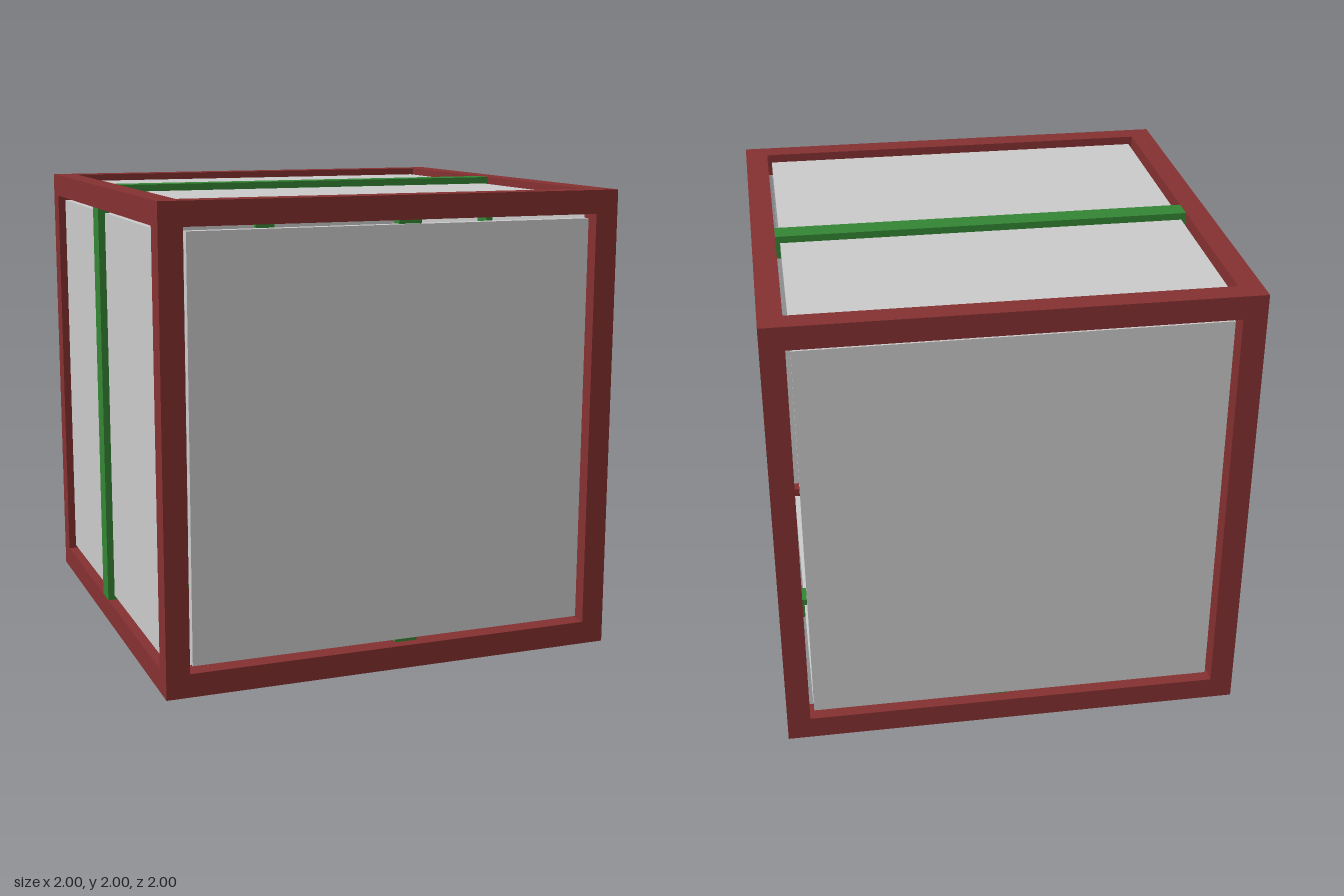
import * as THREE from 'three';

export function createModel() {
  const model = new THREE.Group();
  const red = new THREE.MeshStandardMaterial({ color: 0x853030 });
  const green = new THREE.MeshStandardMaterial({ color: 0x348534 });
  const grey = new THREE.MeshStandardMaterial({ color: 0xcccccc });

  const beam = 0.1;          // frame section
  const inner = 2 - 2 * beam; // clear opening
  const mid = 0.95;          // beam centre line
  const body = new THREE.Group();
  body.name = 'crate';
  body.position.y = 1;
  model.add(body);

  function box(name, material, size, position) {
    const mesh = new THREE.Mesh(new THREE.BoxGeometry(...size), material);
    mesh.name = name;
    mesh.position.set(...position);
    body.add(mesh);
  }

  // Frame: four posts, four cross beams and four side beams
  for (const a of [-1, 1]) {
    for (const b of [-1, 1]) {
      box('cornerPost', red, [beam, 2, beam], [a * mid, 0, b * mid]);
      box('crossBeam', red, [inner, beam, beam], [0, a * mid, b * mid]);
      box('sideBeam', red, [beam, beam, inner], [a * mid, b * mid, 0]);
    }
  }

  // Six thin panels, slightly recessed and clear of the frame all round
  const panel = 1.76, thick = 0.04;
  for (const s of [-1, 1]) {
    box(s > 0 ? 'frontPanel' : 'backPanel', grey, [panel, panel, thick], [0, 0, s * mid]);
    box(s > 0 ? 'leftPanel' : 'rightPanel', grey, [thick, panel, panel], [s * mid, 0, 0]);
    box(s > 0 ? 'topPanel' : 'bottomPanel', grey, [panel, thick, panel], [0, s * mid, 0]);
  }

  // Outer braces, flush with the frame
  const offset = 0.07;
  box('topBrace', green, [inner, beam, beam], [0, mid, -offset]);
  box('bottomBrace', green, [inner, beam, beam], [0, -mid, -offset]);
  box('sideBrace', green, [beam, inner, beam], [-mid, 0, -offset]);

  // Inner braces, behind the other panels
  const depth = 0.05, back = 0.925;
  for (const s of [-1, 1]) {
    box('innerBrace', green, [beam, inner, depth], [offset, 0, s * back]);
  }
  box('innerSideBrace', green, [depth, inner, beam], [back, 0, -offset]);

  return model;
}
